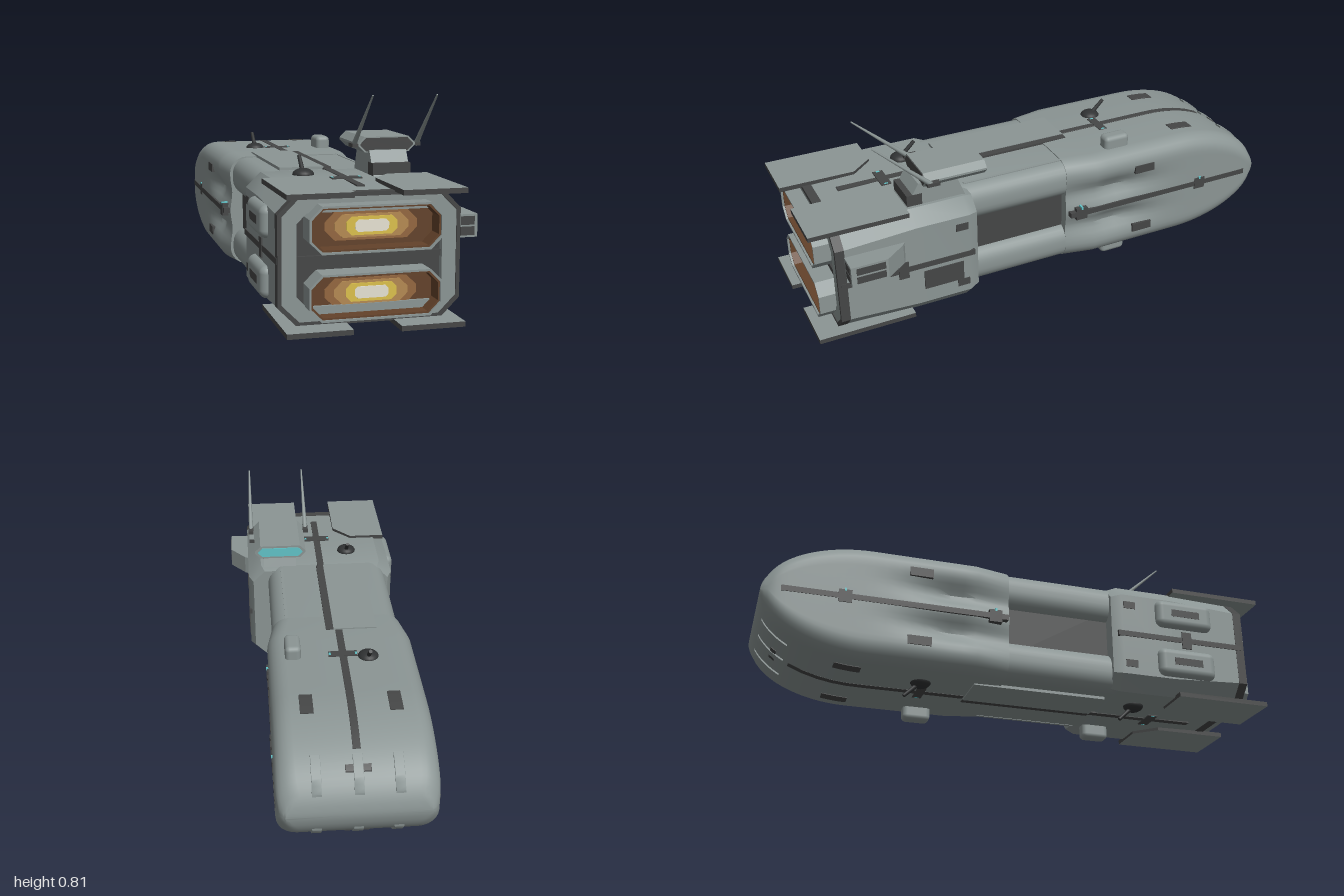
import * as THREE from 'three';
import { toCreasedNormals } from 'three/addons/utils/BufferGeometryUtils.js';
import { RoundedBoxGeometry } from 'three/addons/geometries/RoundedBoxGeometry.js';

const CY = 0.303; // height of the horizontal mirror plane
const NX = -0.06; // centre line of the nose
const RX = -0.03; // centre line of the engine block

function material(name, color) {
  const m = new THREE.MeshStandardMaterial({ color });
  m.name = name;
  return m;
}

// Rounded (or, with segs = 1, chamfered) rectangle with subdivided vertical sides
function ring(w, h, r, segs, sub) {
  const pts = [];
  [[1, 1], [-1, 1], [-1, -1], [1, -1]].forEach(([sx, sy], q) => {
    for (let k = 0; k <= segs; k++) {
      const a = (q + k / segs) * Math.PI / 2;
      pts.push([sx * (w - r) + r * Math.cos(a), sy * (h - r) + r * Math.sin(a)]);
    }
    if (q % 2) for (let k = 1; k < sub; k++) pts.push([sx * w, sy * (h - r) * (1 - 2 * k / sub)]);
  });
  // the second corner leads down the left side, the fourth up the right side
  return pts;
}

// Skin through sections {z, w, h, r}, ordered by growing z, with closed ends
function loft(cx, cy, sections, segs = 6, sub = 1, dent = () => 0) {
  const pos = [], index = [];
  let n = 0;
  sections.forEach(({ z, w, h, r }) => {
    const pts = ring(w, h, r, segs, sub);
    n = pts.length;
    pts.forEach(([x, y]) => {
      const d = Math.abs(x) > w * 0.9 ? dent(y, z) * Math.sign(x) : 0;
      pos.push(cx + x - d, cy + y, z);
    });
  });
  for (let i = 0; i < sections.length - 1; i++) {
    for (let j = 0; j < n; j++) {
      const a = i * n + j, b = i * n + (j + 1) % n;
      index.push(a, b, b + n, a, b + n, a + n);
    }
  }
  const last = sections.length - 1, c = pos.length / 3;
  pos.push(cx, cy, sections[0].z, cx, cy, sections[last].z);
  for (let j = 0; j < n; j++) {
    const k = (j + 1) % n;
    index.push(c, k, j, c + 1, last * n + j, last * n + k);
  }
  const g = new THREE.BufferGeometry();
  g.setAttribute('position', new THREE.Float32BufferAttribute(pos, 3));
  g.setIndex(index);
  return toCreasedNormals(g, 0.6);
}

const poly = (pts) => new THREE.Shape(pts.map(([x, y]) => new THREE.Vector2(x, y)));
const octPts = (w, h, c) => [[w, h - c], [w - c, h], [c - w, h], [-w, h - c], [-w, c - h], [c - w, -h], [w - c, -h], [w, c - h]];
const extrude = (shape, depth) => new THREE.ExtrudeGeometry(shape, { depth, bevelEnabled: false });

function octFrame(w, h, c, t, depth) {
  const s = poly(octPts(w, h, c));
  s.holes.push(poly(octPts(w - t, h - t, c - t * 0.5)));
  return extrude(s, depth);
}

// Half height of the nose at z
const noseH = (z) => 0.2275 * Math.sqrt(Math.max(0.002, 1 - Math.max(0, (-0.6 - z) / 0.4) ** 2));

export function createModel() {
  const model = new THREE.Group();
  const hull = material('hull grey', 0x8b9594);
  const dark = material('dark panel', 0x454646);
  const gunmetal = material('gunmetal', 0x303233);
  const brown = material('burnt brown', 0x63422a);
  const tan = material('hot tan', 0x94673f);
  const amber = material('light tan', 0xb58a52);
  const yellow = material('glow yellow', 0xdcc04c);
  const cream = material('glow cream', 0xf2eedd);
  const teal = material('teal glass', 0x62c4c8);

  const add = (name, geo, mat, x = 0, y = 0, z = 0, parent = model) => {
    const m = new THREE.Mesh(geo, mat);
    m.name = name;
    m.position.set(x, y, z);
    parent.add(m);
    return m;
  };
  const box = (name, mat, w, h, d, x, y, z, parent) => add(name, new THREE.BoxGeometry(w, h, d), mat, x, y, z, parent);
  const both = (f) => [1, -1].forEach(f);

  // Nose hull, blunt in plan and elliptical in profile, with pinched flanks
  const nose = [];
  for (let i = 0; i <= 18; i++) {
    const t = Math.cos(i / 18 * Math.PI / 2), z = -0.6 - 0.4 * t, h = noseH(z);
    nose.push({ z, w: 0.285 - 0.032 * t ** 16, h, r: Math.min(0.07, h * 0.95) });
  }
  for (let z = -0.55; z < -0.17; z += 0.05) nose.push({ z, w: 0.285, h: 0.2275, r: 0.07 });
  nose.push({ z: -0.07, w: 0.262, h: 0.225, r: 0.07 });
  const pinch = (y, z) => 0.04 * Math.exp(-(((z + 0.28) / 0.17) ** 2)) * Math.exp(-(((Math.abs(y) - 0.075) / 0.045) ** 2));
  add('noseHull', loft(NX, CY, nose, 6, 16, pinch), hull);

  // Bands that follow the nose profile above and below
  const band = (name, mat, x, halfW, z0, z1, lift) => {
    const s = [];
    for (let i = 0; i <= 12; i++) {
      const z = z0 + (z1 - z0) * i / 12;
      s.push({ z, w: halfW, h: noseH(z) + lift, r: 0.001 });
    }
    add(name, loft(x, CY, s, 1), mat);
  };
  band('noseStripe', dark, NX, 0.014, -0.86, -0.18, 0.002);
  [-0.2, NX, 0.085].forEach((x) => band('noseRail', hull, x, 0.017, -0.98, -0.88, 0.008));
  band('noseSensor', dark, NX, 0.045, -0.93, -0.91, 0.004);
  [-0.218, 0.1].forEach((x) => band('noseVent', dark, x, 0.024, -0.71, -0.61, 0.003));
  band('noseHatch', dark, NX, 0.055, -0.37, -0.335, 0.003);
  both((s) => band('noseLight', teal, NX + s * 0.05, 0.004, -0.36, -0.345, 0.004));

  // Flank seams, hatches and vents reaching through both sides
  box('noseSeam', dark, 0.574, 0.022, 0.85, NX, CY, -0.505);
  box('engineSeam', dark, 0.636, 0.022, 0.53, RX, CY, 0.635);
  [-0.13, -0.7].forEach((z) => {
    box('noseSideHatch', dark, 0.577, 0.05, 0.05, NX, CY, z);
    box('noseSideLight', teal, 0.579, 0.012, 0.008, NX, CY + 0.025, z);
  });
  box('engineSideHatch', dark, 0.64, 0.07, 0.04, RX, CY, 0.66);
  both((s) => {
    box('noseSideVent', dark, 0.576, 0.035, 0.09, NX, CY + s * 0.14, -0.42);
    box('engineSideVent', dark, 0.634, 0.03, 0.05, RX, CY + s * 0.125, 0.42);
  });

  // Waist: dark core between an upper and a lower tank, with a spine on each
  box('waistCore', dark, 0.43, 0.3, 0.5, -0.055, CY, 0.15);
  both((s) => {
    const ends = [-0.12, 0.38].map((z) => ({ z, w: 0.255, h: 0.077, r: 0.065 }));
    add('waistTank', loft(-0.055, CY + s * 0.144, ends), hull);
    box('waistSpine', hull, 0.17, 0.1, 0.53, -0.125, CY + s * 0.182, 0.09);
    box('waistSpineTrack', dark, 0.032, 0.095, 0.53, -0.026, CY + s * 0.182, 0.09);
    box('waistGroove', dark, 0.014, 0.04, 0.42, -0.236, CY + s * 0.2, 0.14);
    box('waistRail', hull, 0.012, 0.04, 0.42, 0.14, CY + s * 0.203, 0.14);
  });

  // Engine block
  add('engineBlock', loft(RX, CY, [
    { z: 0.35, w: 0.295, h: 0.212, r: 0.05 },
    { z: 0.39, w: 0.315, h: 0.224, r: 0.055 },
    { z: 0.6, w: 0.315, h: 0.224, r: 0.055 },
    { z: 0.88, w: 0.315, h: 0.218, r: 0.065 }], 1), hull);
  box('engineStripe', dark, 0.028, 0.453, 0.24, RX, CY, 0.48);
  box('engineStripeRear', dark, 0.028, 0.45, 0.19, RX, CY, 0.705);
  box('engineHatch', dark, 0.11, 0.456, 0.04, RX, CY, 0.62);
  both((s) => box('engineHatchLight', teal, 0.008, 0.458, 0.014, RX + s * 0.05, CY, 0.62));

  // Stern frame and bulkhead
  add('sternRim', octFrame(0.316, 0.22, 0.066, 0.014, 0.035), dark, RX, CY, 0.878);
  add('sternFrame', octFrame(0.302, 0.206, 0.06, 0.05, 0.032), hull, RX, CY, 0.878);
  add('sternBulkhead', extrude(poly(octPts(0.256, 0.19, 0.03)), 0.012), dark, RX, CY, 0.875);

  // Two wide nozzles with stepped glow
  both((s) => {
    const nozzle = new THREE.Group();
    nozzle.name = 'nozzle';
    nozzle.position.set(-0.025, CY + s * 0.112 - 0.005, 0.87);
    model.add(nozzle);
    add('nozzleShell', octFrame(0.228, 0.079, 0.042, 0.007, 0.1), hull, 0, 0, 0, nozzle);
    add('nozzleLining', octFrame(0.221, 0.072, 0.0385, 0.006, 0.092), brown, 0, 0, 0, nozzle);
    [[0.219, 0.07, 0.036, brown], [0.16, 0.048, 0.035, tan], [0.128, 0.039, 0.028, amber],
      [0.088, 0.031, 0.018, yellow], [0.058, 0.02, 0.01, cream]].forEach(([w, h, c, mat], i) =>
      add('nozzleGlow', extrude(poly(octPts(w, h, c)), 0.006), mat, 0, 0, 0.022 + i * 0.004, nozzle));
  });

  // Four stern fins with a clipped inner corner and dark edges
  both((sx) => both((sy) => {
    const pts = [[0.305, 0.62], [0.155, 0.62], [0.082, 0.705], [0.082, 1], [0.305, 1]];
    const g = extrude(poly(pts.map(([x, z]) => [sx * x, z])), 0.018);
    g.rotateX(Math.PI / 2);
    add('sternFin', g, [hull, dark], RX, CY + sy * 0.225 + 0.009, 0);
  }));

  // Bridge tower: neck, cabin, window, antennas
  const neck = extrude(poly([[0.37, 0.51], [0.62, 0.51], [0.56, 0.615], [0.41, 0.615]]), 0.14);
  neck.translate(0, 0, -0.07);
  neck.rotateY(-Math.PI / 2);
  add('bridgeNeck', neck, hull, 0.146);
  box('bridgeNeckBase', dark, 0.142, 0.045, 0.06, 0.146, 0.55, 0.578);
  add('bridgeCabin', extrude(poly(octPts(0.108, 0.028, 0.024)), 0.245), hull, 0.147, 0.634, 0.3);
  add('bridgeRearPanel', extrude(poly(octPts(0.1, 0.024, 0.021)), 0.004), dark, 0.147, 0.634, 0.543);
  add('bridgeWindow', extrude(poly(octPts(0.094, 0.019, 0.017)), 0.006), teal, 0.147, 0.634, 0.296);
  both((s) => {
    const x = 0.147 + s * 0.12;
    box('antennaBase', dark, 0.022, 0.014, 0.05, x, 0.632, 0.52);
    const a = new THREE.Vector3(x, 0.63, 0.525), b = new THREE.Vector3(x - s * 0.003, 0.824, 0.738);
    const rod = add('antenna', new THREE.CylinderGeometry(0.003, 0.01, a.distanceTo(b), 8), hull);
    rod.position.copy(a).lerp(b, 0.5);
    rod.quaternion.setFromUnitVectors(new THREE.Vector3(0, 1, 0), b.clone().sub(a).normalize());
  });

  // Gun turrets on the deck and, turned over, on the belly
  [-0.37, 0.5].forEach((z) => both((s) => {
    const turret = new THREE.Group();
    turret.name = 'turret';
    turret.position.set(-0.155, CY + s * 0.224, z);
    turret.rotation.z = s > 0 ? 0 : Math.PI;
    model.add(turret);
    const dome = new THREE.SphereGeometry(0.04, 20, 8, 0, Math.PI * 2, 0, Math.PI / 2);
    add('turretDome', dome, gunmetal, 0, 0, 0, turret).scale.y = 0.6;
    const barrel = add('turretBarrel', new THREE.CylinderGeometry(0.007, 0.009, 0.08, 10), gunmetal, 0, 0.034, -0.034, turret);
    barrel.rotation.x = -0.8;
  }));

  // Sensor pods on the deck and belly
  [[1, -0.325], [-1, -0.325], [-1, 0.44]].forEach(([s, z]) =>
    add('sensorPod', new RoundedBoxGeometry(0.06, 0.1, 0.11, 3, 0.018), hull, 0.13, CY + s * 0.228, z));

  // Paired tanks on the right flank
  both((s) => {
    add('flankTank', new RoundedBoxGeometry(0.06, 0.115, 0.24, 4, 0.028), hull, -0.342, CY + s * 0.104, 0.65);
    box('flankTankSlot', dark, 0.004, 0.03, 0.12, -0.371, CY + s * 0.104, 0.65);
  });

  // Launcher on the left flank
  const launcher = extrude(poly([[0.27, 0.64], [0.3, 0.66], [0.362, 0.74], [0.362, 0.88], [0.27, 0.88]]), 0.08);
  launcher.rotateX(Math.PI / 2);
  add('launcher', launcher, hull, 0, 0.426, 0);
  both((s) => {
    box('launcherTube', dark, 0.05, 0.03, 0.006, 0.326, 0.386 + s * 0.018, 0.879);
    box('launcherSlot', dark, 0.005, 0.028, 0.11, 0.361, 0.386 + s * 0.018, 0.805);
  });
  box('flankPanel', dark, 0.01, 0.08, 0.16, 0.284, 0.235, 0.5);
  return model;
}
